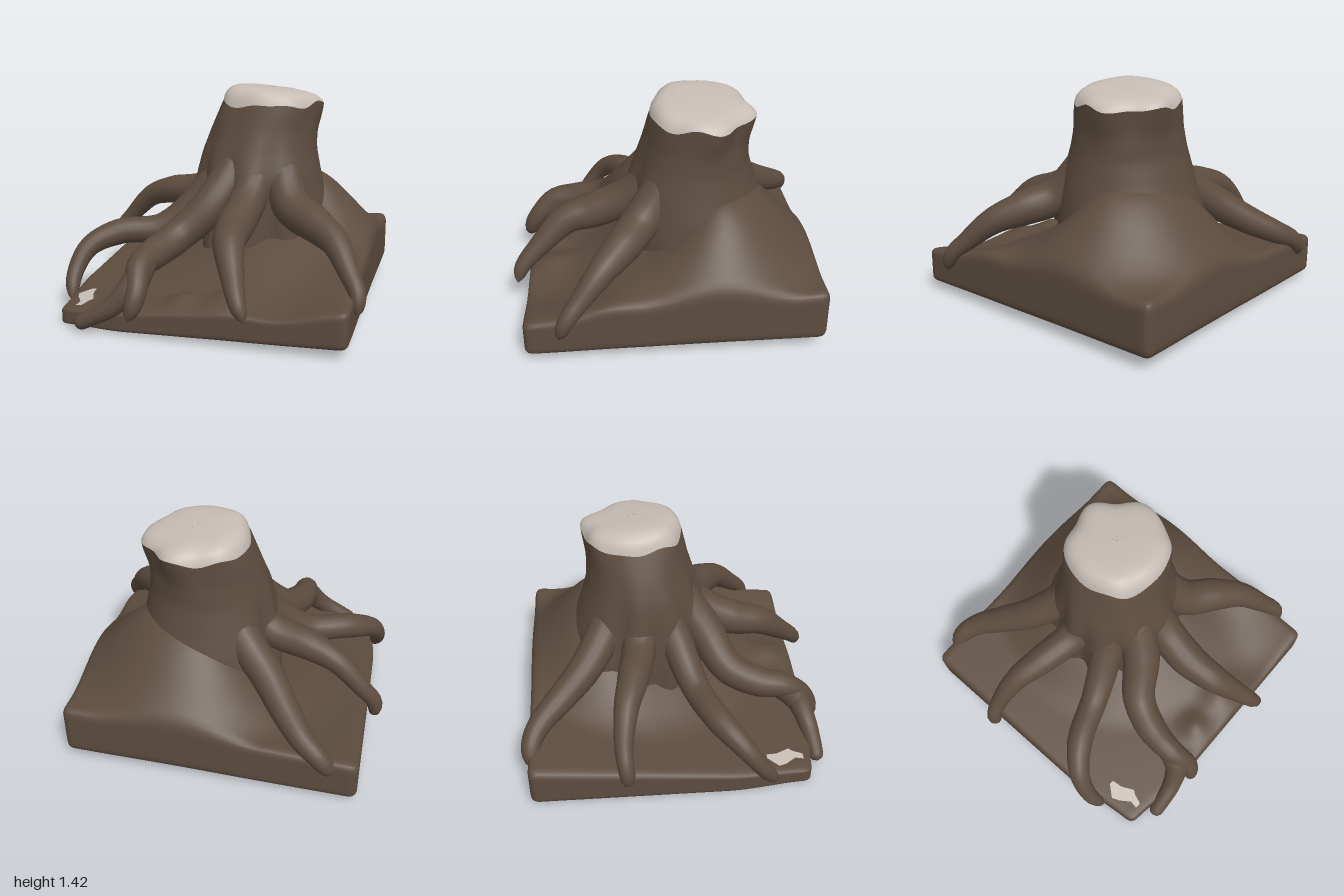
import * as THREE from 'three';
import { mergeVertices } from 'three/addons/utils/BufferGeometryUtils.js';

const V = (x, y, z) => new THREE.Vector3(x, y, z);
const { lerp, smoothstep, degToRad, clamp } = THREE.MathUtils;

// Skin a list of closed rings of points
function loft(rings) {
  const n = rings[0].length, index = [];
  for (let i = 0; i < rings.length - 1; i++) {
    for (let j = 0; j < n; j++) {
      const k = (j + 1) % n, a = i * n + j, b = i * n + k, c = a + n, d = b + n;
      index.push(a, c, b, b, c, d);
    }
  }
  const geo = new THREE.BufferGeometry().setFromPoints(rings.flat());
  geo.setIndex(index);
  geo.computeVertexNormals();
  return geo;
}

// Height of the soil: tilted slab, mound around the trunk, small lumps
function soil(x, z) {
  const u = clamp((x + 0.9) / 1.84, 0, 1), v = clamp((z + 0.95) / 1.84, 0, 1);
  let h = lerp(lerp(0.3, 0.43, u), lerp(0.1, 0.3, u), v);
  const dx = x - 0.24, dz = z + 0.2, d = Math.hypot(dx, dz) + 1e-6;
  const facing = 0.42 + 0.58 * smoothstep((0.35 * dx - 0.94 * dz) / d, -0.6, 0.8);
  h += 0.5 * facing * (1 - smoothstep(d, 0.25, 0.9));
  const lump = (cx, cz, r, a) => a * Math.exp(-((x - cx) ** 2 + (z - cz) ** 2) / (r * r));
  return h + lump(-0.08, 0.74, 0.09, 0.05) + lump(0.2, 0.72, 0.12, 0.05)
    + lump(0.9, 0.35, 0.2, 0.06) - lump(0.55, 0.8, 0.22, 0.05);
}

// Rounded slab whose top follows the soil height, with one worn corner
function slab() {
  const H = 0.3, half = V(0.92, H / 2, 0.92), r = 0.05;
  let geo = new THREE.BoxGeometry(1.84, H, 1.84, 72, 14, 72);
  geo.deleteAttribute('normal');
  geo.deleteAttribute('uv');
  geo = mergeVertices(geo, 1e-4);
  const pos = geo.attributes.position, p = V(0, 0, 0), hi = half.clone().subScalar(r), lo = hi.clone().negate();
  for (let i = 0; i < pos.count; i++) {
    p.fromBufferAttribute(pos, i);
    const inner = p.clone().clamp(lo, hi);
    p.sub(inner).setLength(r).add(inner);
    const worn = smoothstep(-p.x, 0.4, 0.95) * smoothstep(p.z, 0.3, 0.95);
    const x = p.x + 0.02 + 0.05 * worn, z = p.z - 0.03 - 0.06 * worn;
    const bottom = 0.045 + 0.03 * x - 0.012 * z;
    pos.setXYZ(i, x, lerp(bottom, soil(x, z), p.y / H + 0.5), z);
  }
  geo.computeVertexNormals();
  return geo;
}

// Trunk cross-sections: y, centre x, centre z, radius x, radius z
const SECTIONS = [
  [0.2, 0.15, -0.2, 0.49, 0.48], [0.55, 0.15, -0.2, 0.48, 0.47], [0.7, 0.15, -0.19, 0.455, 0.445],
  [0.85, 0.15, -0.175, 0.42, 0.41], [1.0, 0.155, -0.18, 0.385, 0.36],
  [1.15, 0.18, -0.2, 0.35, 0.33], [1.31, 0.22, -0.23, 0.32, 0.32],
];
const VALLEYS = [68, 107, 139, 171, 203].map(degToRad);
// Corners and flats of the rim: angle in degrees, swelling
const RIM = [[-12, 0.09], [-42, -0.08], [-72, 0.06], [-102, -0.05], [-138, 0.03], [48, 0.04], [134, 0.07]];
const SIDES = 64;

// One trunk ring, with valleys between the roots and an irregular rim
function trunkRing(y) {
  let i = 0;
  while (i < SECTIONS.length - 2 && SECTIONS[i + 1][0] < y) i++;
  const a = SECTIONS[i], b = SECTIONS[i + 1], t = (y - a[0]) / (b[0] - a[0]);
  const [cx, cz, rx, rz] = [1, 2, 3, 4].map((k) => lerp(a[k], b[k], t));
  const top = smoothstep(y, 1.05, 1.31), depth = 0.14 * (1 - smoothstep(y, 0.55, 1.25));
  return Array.from({ length: SIDES }, (_, j) => {
    const ang = (j / SIDES) * Math.PI * 2;
    let f = 1;
    for (const [deg, swell] of RIM) f += swell * top * Math.exp(25 * (Math.cos(ang - degToRad(deg)) - 1));
    for (const v of VALLEYS) f -= depth * Math.exp(-(((ang - v) / 0.16) ** 2));
    const wave = top * (0.012 * Math.sin(5 * ang + 1) + 0.008 * Math.sin(8 * ang));
    return V(cx + rx * f * Math.cos(ang), y + wave, cz + rz * f * Math.sin(ang));
  });
}

function trunk() {
  const rings = [];
  for (let i = 0; i <= 30; i++) rings.push(trunkRing(lerp(0.2, 1.31, i / 30)));
  return loft(rings);
}

// Pale domed cut closing the trunk
function cutTop() {
  const rim = trunkRing(1.31), cx = 0.22, cz = -0.23;
  const steps = [[1, 0], [0.97, 0.32], [0.91, 0.6], [0.82, 0.82], [0.7, 0.94], [0.5, 1], [0.25, 1.02], [0, 1.03]];
  return loft(steps.map(([s, k]) => rim.map((p) => {
    const x = lerp(cx, p.x, s), z = lerp(cz, p.z, s);
    return V(x, lerp(p.y, 1.41 - 0.1 * (x - 0.2) + 0.06 * (z + 0.2), k), z);
  })));
}

// Tapered root along points [x, y, z, radius], with a rounded tip
function root(points) {
  const curve = new THREE.CatmullRomCurve3(points.map((p) => V(p[0], p[1], p[2])));
  const N = 40, M = 18, frames = curve.computeFrenetFrames(N), rings = [];
  for (let i = 0; i <= N; i++) {
    const u = i / N, t = u * (points.length - 1), k = Math.min(Math.floor(t), points.length - 2);
    const tip = Math.max(0, (u - 0.92) / 0.08);
    const r = lerp(points[k][3], points[k + 1][3], t - k) * Math.sqrt(Math.max(0, 1 - tip * tip));
    const c = curve.getPointAt(u);
    rings.push(Array.from({ length: M }, (_, j) => {
      const a = (j / M) * Math.PI * 2;
      return c.clone().addScaledVector(frames.normals[i], r * Math.cos(a))
        .addScaledVector(frames.binormals[i], -r * Math.sin(a));
    }));
  }
  return loft(rings);
}

const ROOTS = {
  backRightRoot: [[0.1, 1.05, -0.28, 0.06], [-0.1, 0.76, -0.43, 0.12], [-0.28, 0.6, -0.57, 0.115],
    [-0.42, 0.48, -0.73, 0.105], [-0.55, 0.39, -0.87, 0.09], [-0.66, 0.32, -0.93, 0.07], [-0.75, 0.2, -0.93, 0.05]],
  rightRoot: [[0.08, 1.05, -0.2, 0.06], [-0.22, 0.71, -0.22, 0.12], [-0.5, 0.65, -0.28, 0.11],
    [-0.68, 0.59, -0.33, 0.1], [-0.86, 0.42, -0.36, 0.075], [-0.94, 0.32, -0.35, 0.055], [-0.95, 0.19, -0.34, 0.045]],
  frontRightArchRoot: [[0.07, 1.12, -0.14, 0.06], [-0.18, 0.7, 0.02, 0.12], [-0.43, 0.49, 0.13, 0.105],
    [-0.7, 0.46, 0.24, 0.09], [-0.86, 0.38, 0.37, 0.085], [-0.91, 0.22, 0.5, 0.06], [-0.88, 0.08, 0.6, 0.04]],
  forkedRoot: [[0.14, 1.12, -0.1, 0.06], [-0.05, 0.7, 0.21, 0.125], [-0.24, 0.5, 0.36, 0.125],
    [-0.33, 0.43, 0.56, 0.11], [-0.35, 0.4, 0.74, 0.1], [-0.32, 0.28, 0.87, 0.07], [-0.35, 0.12, 0.94, 0.05]],
  forkedRootBranch: [[-0.34, 0.41, 0.68, 0.08], [-0.37, 0.3, 0.81, 0.085], [-0.48, 0.18, 0.87, 0.065],
    [-0.6, 0.11, 0.89, 0.055], [-0.71, 0.05, 0.9, 0.045]],
  frontRoot: [[0.23, 1.1, -0.12, 0.06], [0.18, 0.73, 0.21, 0.125], [0.16, 0.61, 0.45, 0.12],
    [0.18, 0.56, 0.63, 0.12], [0.25, 0.42, 0.8, 0.095], [0.32, 0.29, 0.93, 0.065], [0.37, 0.2, 0.96, 0.04]],
  frontLeftRoot: [[0.3, 1.08, -0.12, 0.06], [0.45, 0.7, 0.15, 0.125], [0.64, 0.62, 0.29, 0.125],
    [0.78, 0.55, 0.41, 0.115], [0.89, 0.41, 0.55, 0.085], [0.95, 0.32, 0.63, 0.06], [0.96, 0.2, 0.68, 0.04]],
};

// Pale bare spot lying on the soil
function bareSpot() {
  const outline = [[-0.76, 0.55], [-0.73, 0.55], [-0.72, 0.62], [-0.68, 0.7], [-0.7, 0.73],
    [-0.72, 0.79], [-0.76, 0.79], [-0.75, 0.74], [-0.8, 0.67], [-0.82, 0.62]];
  return loft([1, 0.66, 0.33, 0].map((s) => outline.map(([px, pz]) => {
    const x = lerp(-0.745, px, s), z = lerp(0.67, pz, s);
    return V(x, soil(x, z) + 0.006, z);
  })));
}

export function createModel() {
  const bark = new THREE.MeshStandardMaterial({ color: 0x5c4c3e });
  bark.name = 'bark brown';
  const pale = new THREE.MeshStandardMaterial({ color: 0xc6bdb5 });
  pale.name = 'pale wood';
  pale.side = THREE.DoubleSide;
  const group = new THREE.Group();
  group.name = 'treeStump';
  const add = (name, geo, mat) => {
    const mesh = new THREE.Mesh(geo, mat);
    mesh.name = name;
    group.add(mesh);
  };
  add('soilSlab', slab(), bark);
  add('trunk', trunk(), bark);
  add('cutTop', cutTop(), pale);
  for (const [name, points] of Object.entries(ROOTS)) add(name, root(points), bark);
  add('bareSpot', bareSpot(), pale);
  return group;
}
